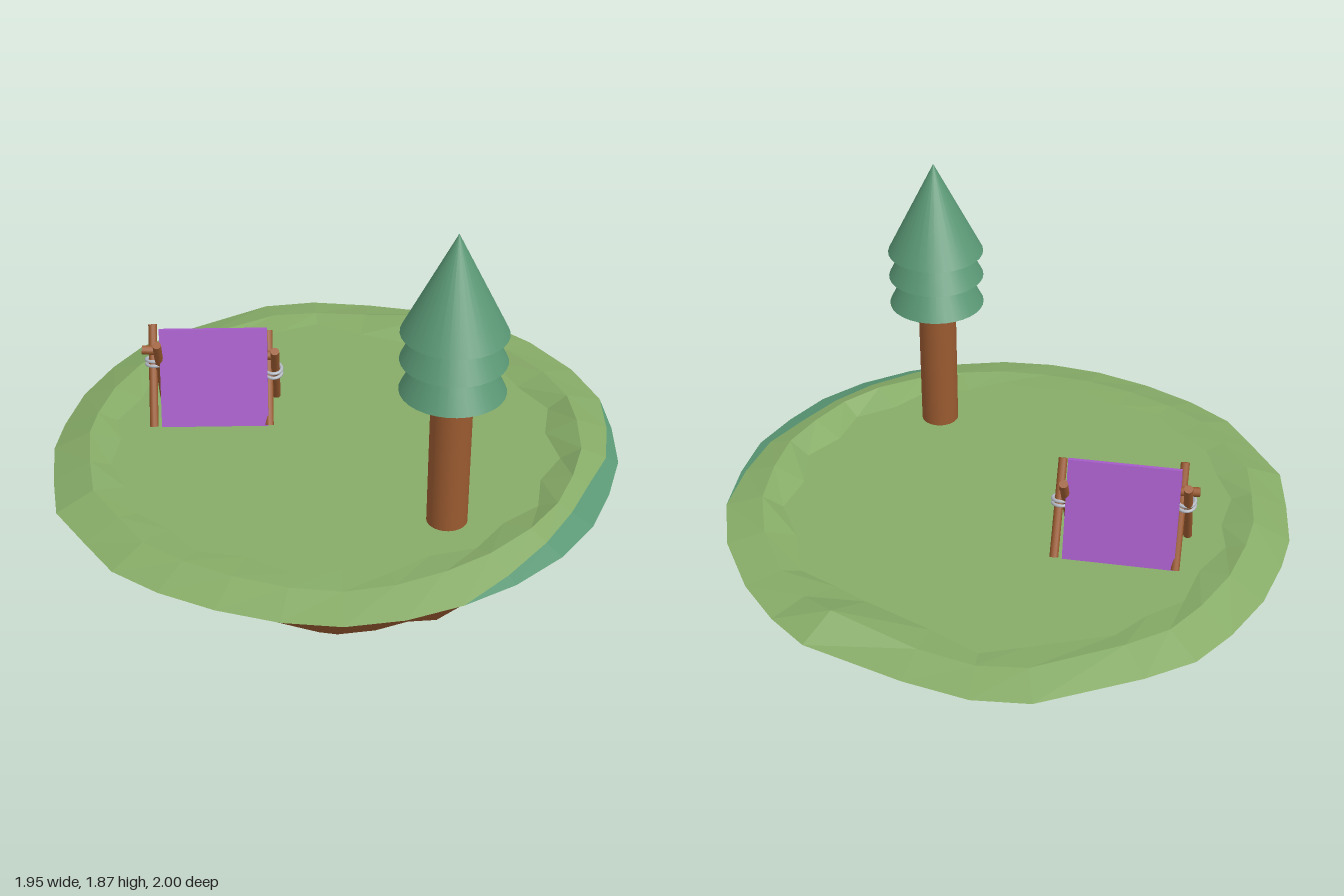
import * as THREE from 'three';

const mat = (name, color) => {
  const m = new THREE.MeshStandardMaterial({ color });
  m.name = name;
  return m;
};

export function createModel() {
  const grass = mat('grass green', 0x86ab67);
  const pine = mat('pine green', 0x5a9875);
  const wood = mat('earth and wood brown', 0x9a5a30);
  const canvas = mat('canvas purple', 0xa45cc6);
  const rope = mat('rope grey', 0xb4b9c2);

  const model = new THREE.Group();
  model.name = 'floatingIslandCamp';
  const add = (parent, name, geometry, material) => {
    const mesh = new THREE.Mesh(geometry, material);
    mesh.name = name;
    parent.add(mesh);
    return mesh;
  };
  let seed = 7;
  const random = () => (seed = (seed * 16807) % 2147483647) / 2147483647;

  // Island outline, going from +x towards +z
  const rim = [
    [0.97, 0], [0.96, 0.2], [0.9, 0.38], [0.82, 0.55], [0.7, 0.7], [0.54, 0.83], [0.37, 0.92],
    [0.19, 0.98], [0, 1], [-0.19, 0.975], [-0.39, 0.91], [-0.57, 0.82], [-0.72, 0.71], [-0.82, 0.56],
    [-0.93, 0.39], [-0.96, 0.2], [-0.98, 0], [-0.96, -0.15], [-0.91, -0.35], [-0.82, -0.54],
    [-0.72, -0.69], [-0.57, -0.8], [-0.25, -0.98], [-0.06, -1], [0.16, -0.96], [0.5, -0.86],
    [0.63, -0.76], [0.76, -0.62], [0.89, -0.41], [0.96, -0.2],
  ];
  const angles = rim.map(([x, z]) => (Math.atan2(z, x) + Math.PI * 2) % (Math.PI * 2));
  // Interpolates evenly spaced values around the circle
  const around = (values, angle) => {
    const t = (angle / (Math.PI * 2)) * values.length;
    const i = Math.floor(t);
    return THREE.MathUtils.lerp(values[i % values.length], values[(i + 1) % values.length], t - i);
  };
  const ring = (radius, height) => angles.map((a, i) => {
    const r = radius(a, i);
    return new THREE.Vector3(Math.cos(a) * r, height(a, i), Math.sin(a) * r);
  });
  // Flat facets joining successive rings
  const bands = (rings, keep = () => true) => {
    const points = [];
    const tri = (a, b, c) => {
      const area = b.clone().sub(a).cross(c.clone().sub(a)).length();
      if (area > 1e-6) points.push(a, b, c);
    };
    for (let k = 0; k + 1 < rings.length; k++) {
      const A = rings[k], B = rings[k + 1];
      for (let i = 0; i < rim.length; i++) {
        if (!keep(i)) continue;
        const j = (i + 1) % rim.length;
        tri(A[i], B[j], B[i]);
        tri(A[i], A[j], B[j]);
      }
    }
    const g = new THREE.BufferGeometry().setFromPoints(points);
    g.computeVertexNormals();
    return g;
  };

  const rimRadius = i => Math.hypot(...rim[i]);
  const rimHeight = a => around([0.86, 0.832, 0.81, 0.81, 0.81, 0.82, 0.835, 0.855], a);
  const mound = a => 0.05 * Math.exp(-(((a - 5.16) / 0.2) ** 2));
  const crestHeight = a => around([0.9, 0.88, 0.842, 0.855, 0.875, 0.862, 0.857, 0.868], a) + mound(a);
  const floorY = 0.846;

  // Grass: flat floor, raised crest, sloping edge
  const edge = ring((a, i) => rimRadius(i), rimHeight);
  const crest = ring((a, i) => rimRadius(i) * 0.87, crestHeight);
  const floor = ring((a, i) => rimRadius(i) * (0.76 + 0.04 * (i % 2)) - mound(a) * 2, () => floorY);
  const centre = ring(() => 0, () => floorY);
  const shoreWidths = [0.15, 0.33, 0.55, 0.6, 0.5, 0.3, 0];
  const shore = edge.map((p, i) => p.clone().lerp(crest[i], shoreWidths[i] ?? 0));
  add(model, 'grassTop', bands([centre, floor, crest, shore]), grass);
  add(model, 'darkGrassEdge', bands([shore, edge], i => i < 6 || i === rim.length - 1), pine);

  // Rock: faceted cone tapering to a point
  const rough = amount => {
    const steps = rim.map(() => (random() - 0.5) * amount);
    return i => steps[i - (i % 2)];
  };
  const rockRing = (radii, y, bump) => {
    const r = rough(bump), h = rough(bump);
    return ring((a, i) => around(radii, a) + r(i), (a, i) => y + h(i));
  };
  const rock = [
    edge,
    rockRing([0.73, 0.77, 0.79, 0.79, 0.8, 0.78, 0.77, 0.75], 0.65, 0.045),
    rockRing([0.53, 0.57, 0.61, 0.57, 0.53, 0.55, 0.55, 0.53], 0.45, 0.06),
    rockRing([0.23, 0.29, 0.35, 0.32, 0.3, 0.31, 0.31, 0.26], 0.24, 0.03),
    ring(() => 0, () => 0),
  ];
  add(model, 'rockBase', bands(rock), wood);

  // Tree: trunk and three equal stacked cones
  const tree = new THREE.Group();
  tree.name = 'tree';
  tree.position.set(0.35, 0, 0.505);
  model.add(tree);
  add(tree, 'trunk', new THREE.CylinderGeometry(0.067, 0.067, 0.56, 32), wood).position.y = 1.11;
  for (const y of [1.34, 1.447, 1.542]) {
    add(tree, 'foliageTier', new THREE.ConeGeometry(0.168, 0.33, 32), pine).position.y = y + 0.165;
  }

  // Tent: folded canvas roof with inset end walls
  const tent = new THREE.Group();
  tent.name = 'tent';
  tent.position.set(-0.42, floorY, -0.176);
  model.add(tent);
  const prism = (corners, length) => {
    const shape = new THREE.Shape(corners.map(([x, y]) => new THREE.Vector2(x, y)));
    const g = new THREE.ExtrudeGeometry(shape, { depth: length, bevelEnabled: false });
    return g.translate(0, 0, -length / 2).rotateY(Math.PI / 2);
  };
  add(tent, 'canvasRoof', prism(
    [[-0.105, 0], [-0.09, 0], [0, 0.29], [0.09, 0], [0.105, 0], [0.006, 0.335], [-0.006, 0.335]], 0.375), canvas);
  add(tent, 'canvasEnds', prism([[-0.092, 0], [0.092, 0], [0, 0.295]], 0.34), canvas);

  // Poles: a crossed pair at each end and a ridge stick
  const stick = (name, from, to, radius) => {
    const a = new THREE.Vector3(...from), b = new THREE.Vector3(...to);
    const pole = add(tent, name, new THREE.CylinderGeometry(radius, radius, a.distanceTo(b), 12), wood);
    pole.position.copy(a).add(b).multiplyScalar(0.5);
    pole.quaternion.setFromUnitVectors(new THREE.Vector3(0, 1, 0), b.sub(a).normalize());
  };
  for (const side of [-1, 1]) {
    const x = side * 0.203, top = side < 0 ? 0.315 : 0.285;
    stick('crossPole', [x - 0.012, 0, 0.1], [x - 0.012, top, -0.075], 0.015);
    stick('crossPole', [x + 0.012, 0, -0.1], [x + 0.012, top, 0.075], 0.015);
    // Rope lashing round the crossing
    for (const dy of [-0.009, 0.009]) {
      const loop = add(tent, 'ropeLashing', new THREE.TorusGeometry(0.03, 0.006, 8, 20), rope);
      loop.position.set(x + side * 0.004, (side < 0 ? 0.208 : 0.165) + dy, 0);
      loop.rotation.set(Math.PI / 2 + side * 0.2, 0, 0);
    }
  }
  stick('ridgeStick', [-0.25, 0.255, 0], [0.215, 0.225, 0], 0.016);

  return model;
}
